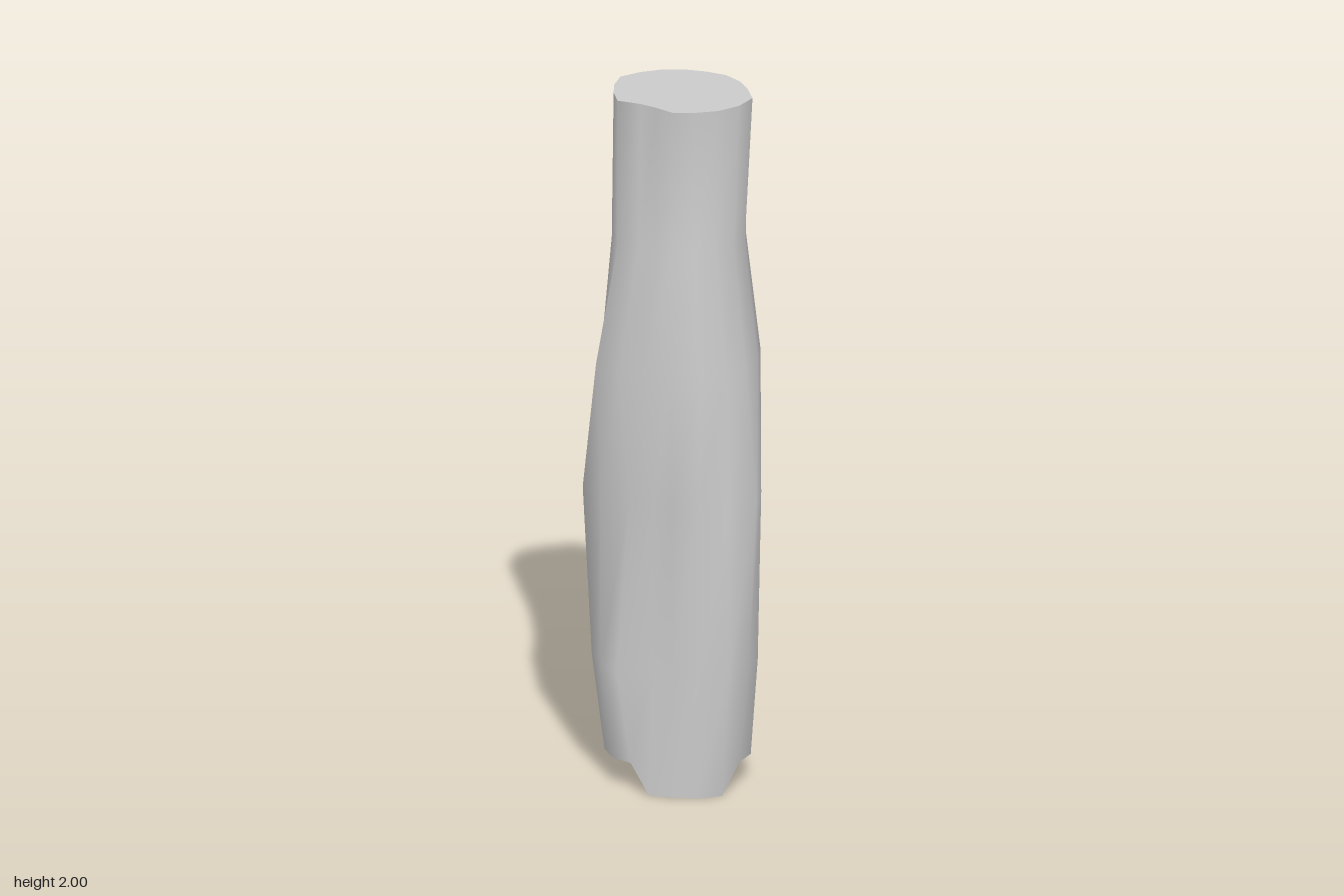
import * as THREE from 'three';

const SIDES = 18;

// Cross-sections from bottom to top: radius every 20 degrees, from +x round towards +z
const SECTIONS = [
  { y: 0.08, r: [.205, .205, .21, .2, .188, .19, .185, .2, .205, .2, .195, .185, .175, .167, .167, .175, .185, .195] },
  { y: 0.36, r: [.225, .235, .24, .21, .18, .17, .24, .235, .24, .225, .21, .2, .19, .175, .175, .185, .195, .21] },
  { y: 0.85, r: [.235, .262, .245, .215, .2, .165, .19, .235, .265, .235, .22, .2, .195, .185, .185, .195, .205, .22] },
  { y: 1.24, r: [.225, .225, .23, .238, .224, .222, .228, .25, .215, .21, .21, .2, .215, .2, .19, .2, .205, .225] },
  { y: 1.58, r: [.188, .185, .175, .165, .155, .15, .155, .185, .185, .185, .195, .19, .2, .217, .195, .18, .18, .185] },
  { y: 2.0, r: [.21, .203, .192, .18, .174, .147, .147, .185, .18, .185, .198, .185, .178, .173, .173, .182, .185, .19] },
];

function ringPoints({ y, r }, level) {
  return r.map((radius, i) => {
    const a = (i / SIDES) * Math.PI * 2;
    // The front of the lowest rim dips down to the ground
    const height = level === 0 && i >= 2 && i <= 5 ? 0 : y;
    return new THREE.Vector3(Math.cos(a) * radius, height, Math.sin(a) * radius);
  });
}

function makeMesh(name, points, index, material) {
  const geometry = new THREE.BufferGeometry().setFromPoints(points);
  geometry.setIndex(index);
  geometry.computeVertexNormals();
  const mesh = new THREE.Mesh(geometry, material);
  mesh.name = name;
  return mesh;
}

// Fan from a centre point to a rim
function makeCap(name, rim, centreY, facesUp, material) {
  const index = [];
  for (let i = 0; i < SIDES; i++) {
    const j = (i + 1) % SIDES;
    index.push(SIDES, facesUp ? j : i, facesUp ? i : j);
  }
  return makeMesh(name, [...rim, new THREE.Vector3(0, centreY, 0)], index, material);
}

export function createModel() {
  const group = new THREE.Group();
  group.name = 'trunk';
  const material = new THREE.MeshStandardMaterial({ color: 0xcccccc });
  const rings = SECTIONS.map(ringPoints);

  // Smooth wall lofted through the sections
  const index = [];
  for (let k = 0; k < rings.length - 1; k++) {
    for (let i = 0; i < SIDES; i++) {
      const j = (i + 1) % SIDES;
      const a = k * SIDES + i, b = k * SIDES + j;
      index.push(a, a + SIDES, b, b, a + SIDES, b + SIDES);
    }
  }
  group.add(makeMesh('trunkWall', rings.flat(), index, material));

  // Flat cut top and dipped underside
  group.add(makeCap('topCut', rings[rings.length - 1], 2, true, material));
  group.add(makeCap('underside', rings[0], 0, false, material));
  return group;
}
